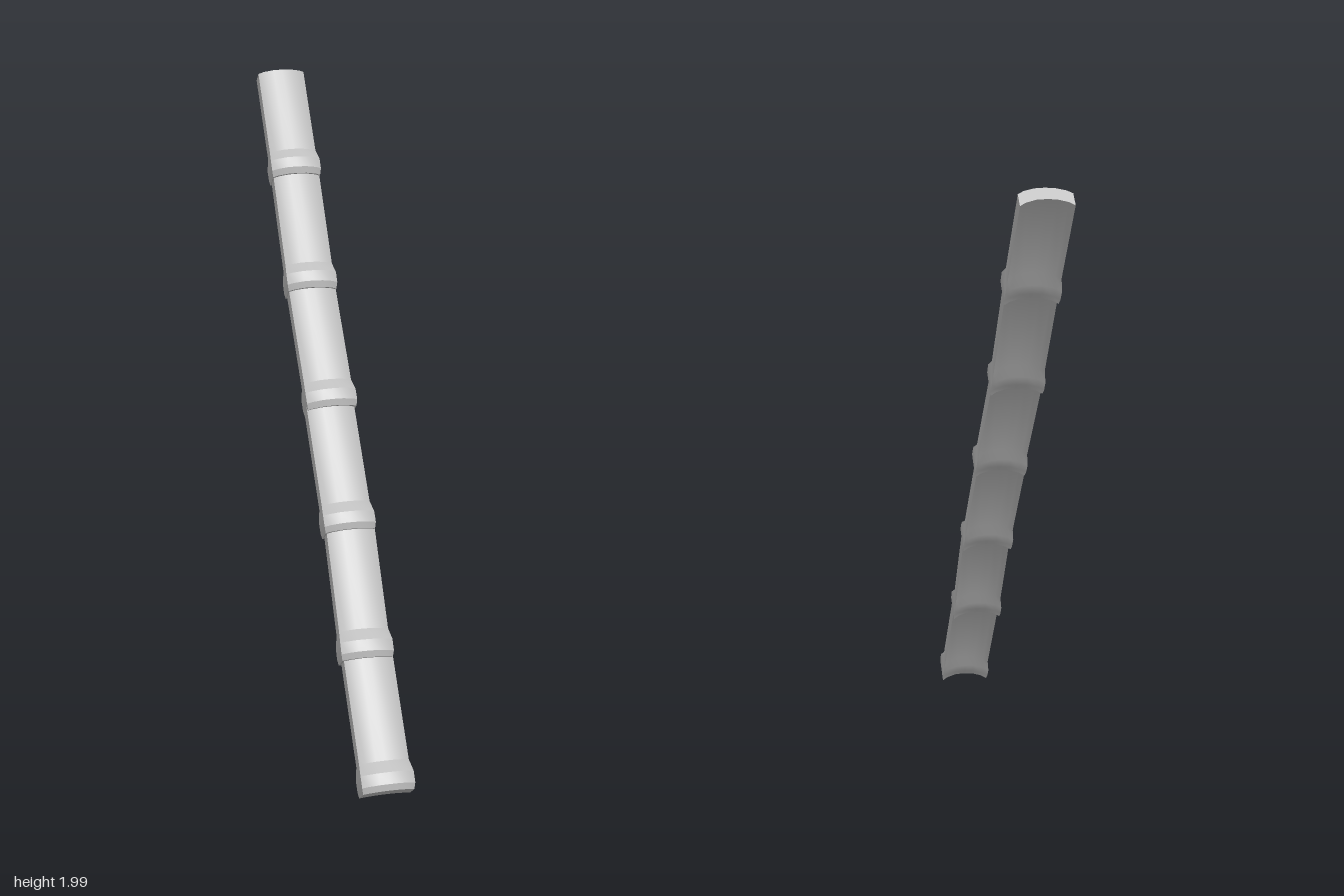
import * as THREE from 'three';
import { toCreasedNormals } from 'three/addons/utils/BufferGeometryUtils.js';

// Half profile, centre outwards: x, top height, underside height
const HALF = [[0, 0.033, -0.012], [0.03, 0.031, -0.014], [0.062, 0.021, -0.025], [0.08, 0.009, -0.038]];
// Rings along a tile: distance, top swell, underside swell, side swell
const RINGS = [
  [0, 0.006, 0.014, 0.002],
  [0.018, 0.02, 0.014, 0.005],
  [0.055, 0.021, 0.014, 0.005],
  [0.095, 0, 0, 0],
  [0.43, 0, 0, 0],
];
const PITCH = 0.424;

function tileGeometry(length) {
  const across = [...HALF.slice().reverse(), ...HALF.slice(1).map(([x, t, b]) => [-x, t, b])];
  const n = across.length;
  const rings = RINGS.map(([s, up, down, side], i) => {
    const y = i === RINGS.length - 1 ? length : s;
    const widen = 1 + side / 0.08;
    const top = across.map(([x, t]) => [x * widen, y, t + up]);
    const under = across.map(([x, , b]) => [x * widen, y, b - down]);
    return [...top, ...under.reverse()];
  });
  const pos = [];
  const quad = (a, b, c, d) => pos.push(...a, ...b, ...c, ...a, ...c, ...d);
  // Skin between successive rings
  for (let i = 0; i < rings.length - 1; i++) {
    const r = rings[i], q = rings[i + 1];
    for (let k = 0; k < 2 * n; k++) {
      const m = (k + 1) % (2 * n);
      quad(r[k], q[k], q[m], r[m]);
    }
  }
  // End faces
  const first = rings[0], last = rings[rings.length - 1];
  for (let k = 0; k < n - 1; k++) {
    const l = 2 * n - 1 - k;
    quad(first[k], first[k + 1], first[l - 1], first[l]);
    quad(last[l], last[l - 1], last[k + 1], last[k]);
  }
  const geo = new THREE.BufferGeometry();
  geo.setAttribute('position', new THREE.Float32BufferAttribute(pos, 3));
  return toCreasedNormals(geo, 0.45);
}

export function createModel() {
  const model = new THREE.Group();
  model.name = 'ridgeTileRow';
  const clay = new THREE.MeshStandardMaterial({ color: 0xbfbfbf });
  clay.name = 'light grey tile';

  // Sloping row, each tile's lip covering the end of the one below
  const slope = new THREE.Group();
  slope.name = 'slopedRow';
  slope.rotation.x = -0.696;
  model.add(slope);

  const shift = [0, -0.004, 0.002, 0.003, -0.004, 0];
  const yaw = [0, -0.02, 0.008, 0.015, -0.01, 0];
  for (let i = 0; i < 6; i++) {
    const tile = new THREE.Mesh(tileGeometry(i === 5 ? 0.402 : 0.435), clay);
    tile.name = 'ridgeTile' + (i + 1);
    tile.position.set(shift[i], -0.488 + i * PITCH, 0.645);
    tile.rotation.z = yaw[i];
    slope.add(tile);
  }
  return model;
}
